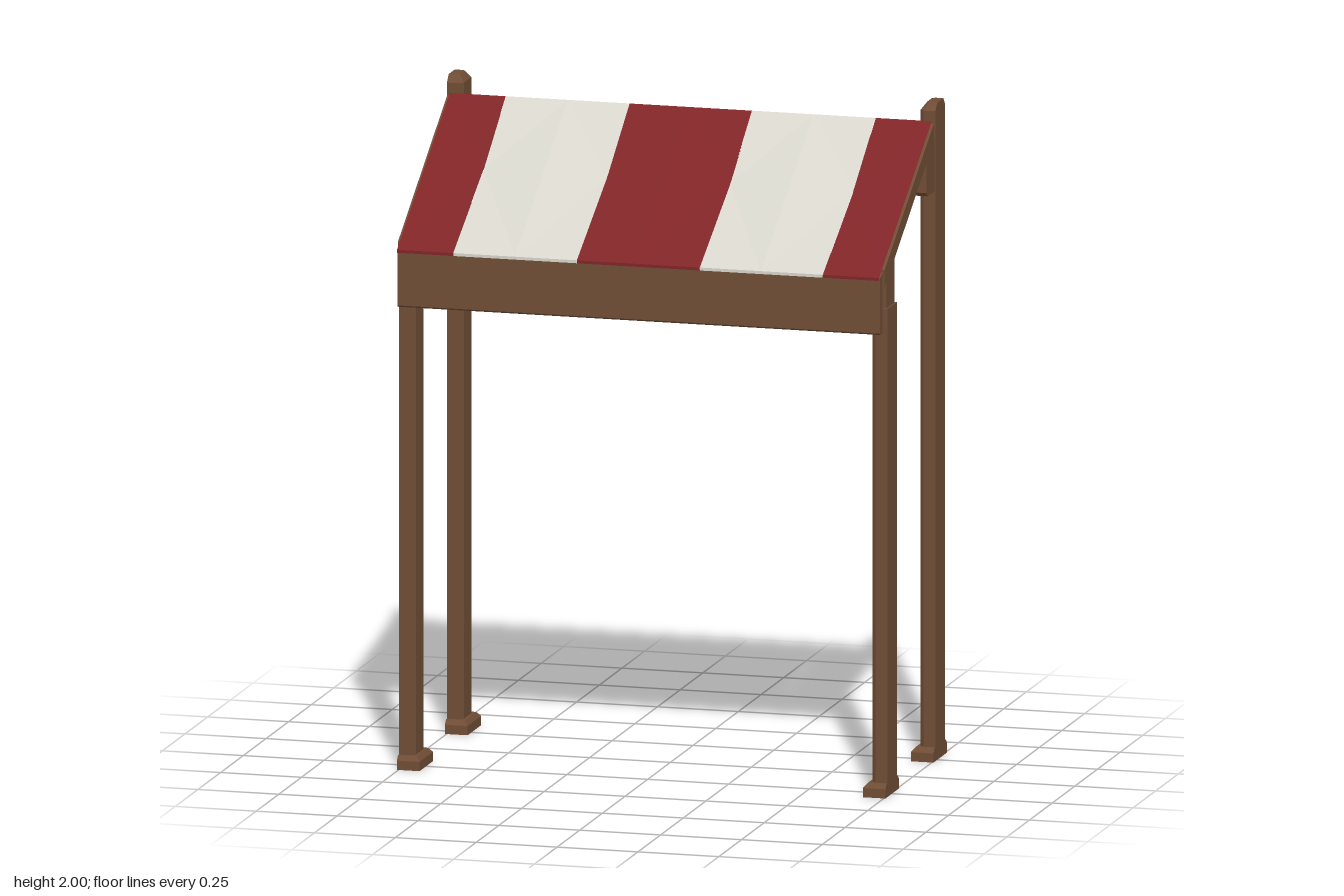
import * as THREE from 'three';
import { ConvexGeometry } from 'three/addons/geometries/ConvexGeometry.js';

const wood = new THREE.MeshStandardMaterial({ color: 0x704d35 });
wood.name = 'brown wood';
const red = new THREE.MeshStandardMaterial({ color: 0x802528, side: THREE.DoubleSide });
red.name = 'red canvas';
const white = new THREE.MeshStandardMaterial({ color: 0xd6d4cb, side: THREE.DoubleSide });
white.name = 'white canvas';

const OUTER = 0.755; // flat outer side of the posts
const roofY = z => 1.592 + (0.355 - z) * 0.614; // slope of the canvas

function add(group, name, geometry, material) {
  const mesh = new THREE.Mesh(geometry, material);
  mesh.name = name;
  group.add(mesh);
}

// Convex block from rings [y, inner x, half depth, corner chamfer], flat on its outer side
function block(side, zc, rings) {
  const pts = [];
  for (const [y, x, d, c] of rings) {
    for (const s of [-1, 1]) {
      pts.push(new THREE.Vector3(side * OUTER, y, zc + s * d));
      pts.push(new THREE.Vector3(side * (x + c), y, zc + s * d));
      if (c) pts.push(new THREE.Vector3(side * x, y, zc + s * (d - c)));
    }
  }
  return new ConvexGeometry(pts);
}

// Side profile of [z, y] points, stretched along x
function sidePrism(profile, x0, x1) {
  const shape = new THREE.Shape(profile.map(p => new THREE.Vector2(p[0], p[1])));
  const g = new THREE.ExtrudeGeometry(shape, { depth: x1 - x0, bevelEnabled: false });
  g.rotateY(-Math.PI / 2);
  g.translate(x1, 0, 0);
  return g;
}

function triangles(points) {
  const g = new THREE.BufferGeometry().setFromPoints(points);
  g.computeVertexNormals();
  return g;
}

export function createModel() {
  const model = new THREE.Group();
  model.name = 'awning';

  // Posts with chamfered feet; the rear pair rises above the roof
  for (const side of [-1, 1]) {
    const label = side > 0 ? 'left' : 'right';
    for (const [pos, zc, top] of [['Front', 0.247, 1.485], ['Rear', -0.283, 2]]) {
      const post = new THREE.Group();
      post.name = label + pos + 'Post';
      add(post, 'foot', block(side, zc, [[0, 0.685, 0.075, 0], [0.028, 0.685, 0.075, 0], [0.042, 0.697, 0.063, 0]]), wood);
      const rings = [[0.04, 0.706, 0.053, 0.012]];
      if (pos === 'Rear') rings.push([top - 0.022, 0.706, 0.053, 0.012], [top, 0.722, 0.034, 0.008]);
      else rings.push([top, 0.706, 0.053, 0.012]);
      add(post, 'shaft', block(side, zc, rings), wood);
      model.add(post);
    }
  }

  // Cross beams carrying the roof
  add(model, 'frontBeam', sidePrism([[0.205, 1.48], [0.29, 1.48], [0.29, 1.57], [0.205, 1.625]], -0.75, 0.75), wood);
  add(model, 'rearBeam', sidePrism([
    [-0.234, 1.735], [-0.152, 1.735], [-0.14, 1.747], [-0.14, 1.85], [-0.19, 1.893], [-0.234, 1.893],
  ], -0.752, 0.752), wood);

  // Fascia board across the front
  add(model, 'fascia', sidePrism([
    [0.32, 1.42], [0.325, 1.415], [0.345, 1.415], [0.35, 1.42], [0.35, 1.588], [0.32, 1.6],
  ], -0.746, 0.746), wood);

  // Sloping rafters
  const top = z => roofY(z) - 0.005;
  const rafter = [
    [0.32, top(0.32) - 0.055], [0.32, top(0.32)], [-0.222, top(-0.222)],
    [-0.222, 1.89], [-0.2, top(-0.2) - 0.055],
  ].reverse();
  for (const x of [-0.734, -0.38, 0, 0.38, 0.734])
    add(model, 'rafter', sidePrism(rafter, x - 0.018, x + 0.018), wood);

  // Striped canvas, stretched over the rafters and sagging between them
  const zT = -0.225, zB = 0.357, zM = 0.02, sag = 0.022;
  const at = (x, z, drop = 0) => new THREE.Vector3(x, roofY(z) - drop, z);
  [-0.745, -0.38, 0, 0.38, 0.745].forEach((x, i) => {
    const pts = [];
    const ends = [];
    for (const s of [-1, 1]) {
      if (Math.abs(x + s * 0.1) > 0.745) { ends.push(x); continue; }
      // stripe edges lie midway between rafters
      const edge = Math.abs(x) > 0.7 ? Math.sign(x) * 0.572 : x + s * 0.191;
      ends.push(edge);
      const apex = at(edge, zM, sag);
      const tris = [
        [at(x, zT), at(x, zB), apex],
        [at(x, zT), apex, at(edge, zT)],
        [at(x, zB), at(edge, zB), apex],
      ];
      for (const t of tris) pts.push(...(s > 0 ? t : t.reverse()));
    }
    // small hem hanging over the front edge
    const [a, b] = ends;
    const y = roofY(zB);
    const hem = (px, py) => new THREE.Vector3(px, py, zB);
    pts.push(hem(a, y - 0.009), hem(b, y - 0.009), hem(b, y), hem(a, y - 0.009), hem(b, y), hem(a, y));
    add(model, 'canvasStripe', triangles(pts), i % 2 ? white : red);
  });

  return model;
}
